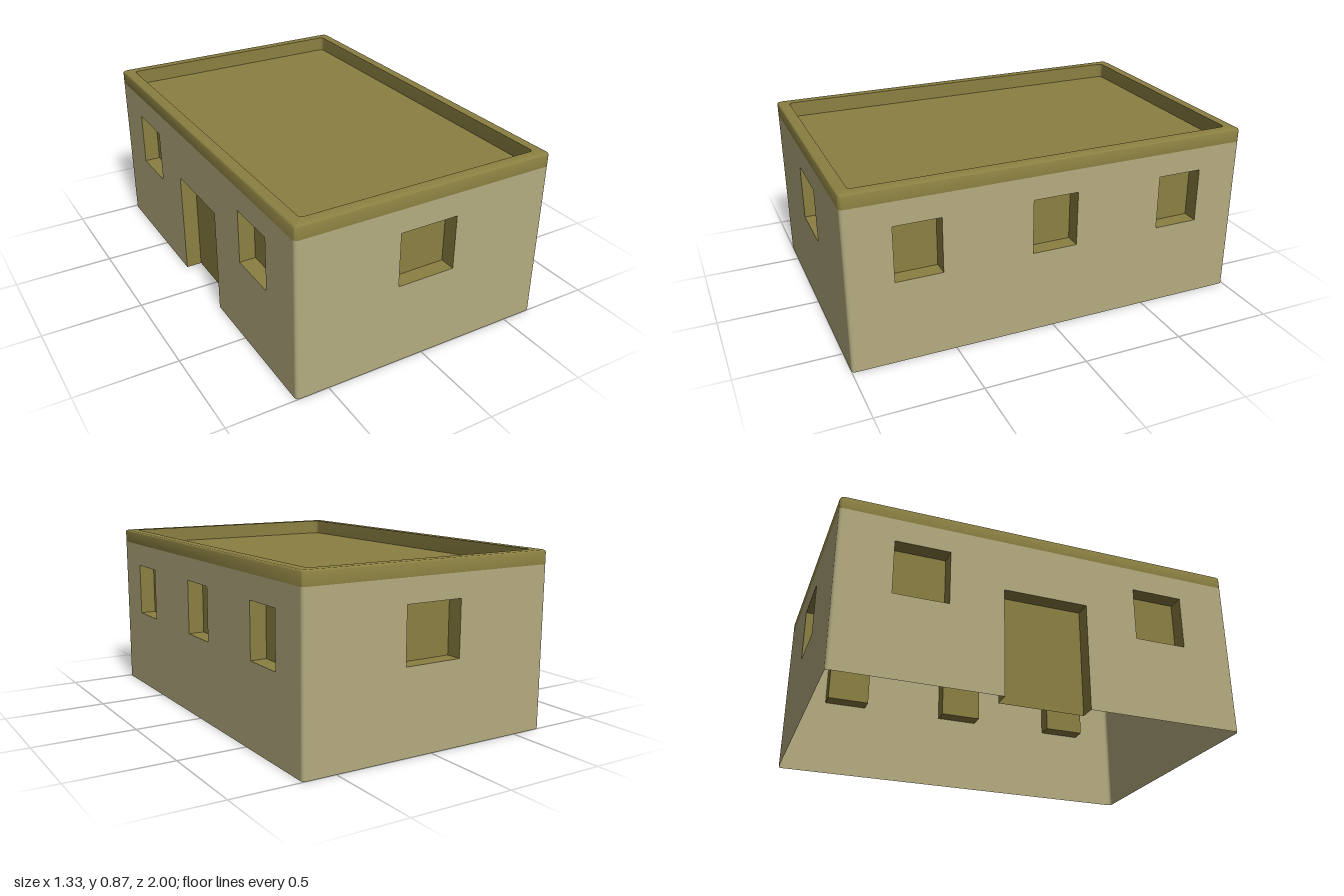
import * as THREE from 'three';
import { toCreasedNormals } from 'three/addons/utils/BufferGeometryUtils.js';

const HALF_X = 0.663, HALF_Z = 1, WALL_TOP = 0.8, ROOF_TOP = 0.867;
const FLOOR_Y = 0.79, RIM = 0.055, RADIUS = 0.018, DEPTH = 0.08;

const wallMat = new THREE.MeshStandardMaterial({ color: 0xb4ac80, side: THREE.DoubleSide });
wallMat.name = 'pale plaster';
const trimMat = new THREE.MeshStandardMaterial({ color: 0x8b8042, side: THREE.DoubleSide });
trimMat.name = 'olive trim';

function add(parent, name, geometry, material) {
  const mesh = new THREE.Mesh(geometry, material);
  mesh.name = name;
  parent.add(mesh);
  return mesh;
}

// Rounded rectangle outline, inset from the building's footprint
function outline(inset) {
  const points = [], steps = 5;
  const corners = [[1, 1], [1, -1], [-1, -1], [-1, 1]];
  corners.forEach(([sx, sz], k) => {
    for (let i = 0; i <= steps; i++) {
      const a = (k + i / steps) * Math.PI / 2;
      points.push([
        sx * (HALF_X - inset - RADIUS) + RADIUS * Math.sin(a),
        sz * (HALF_Z - inset - RADIUS) + RADIUS * Math.cos(a),
      ]);
    }
  });
  return points;
}

// Niche set into a wall: a box without its front (and without a floor for doors)
function recessGeometry(w, h, isDoor) {
  const g = new THREE.BoxGeometry(w, h, DEPTH);
  const keep = isDoor ? [0, 1, 2, 5] : [0, 1, 2, 3, 5];
  const index = Array.from(g.index.array);
  g.setIndex(keep.flatMap((f) => index.slice(f * 6, f * 6 + 6)));
  g.clearGroups();
  // turn the faces towards the inside of the niche
  const idx = g.index.array;
  for (let i = 0; i < idx.length; i += 3) [idx[i], idx[i + 1]] = [idx[i + 1], idx[i]];
  const n = g.attributes.normal;
  for (let i = 0; i < n.count; i++) n.setXYZ(i, -n.getX(i), -n.getY(i), -n.getZ(i));
  return g;
}

// One wall with openings; u runs to the right as seen from outside
function makeWall(name, width, distance, angle, openings) {
  const group = new THREE.Group();
  group.name = name;
  const half = width / 2 - RADIUS;
  const shape = new THREE.Shape();
  const door = openings.find((o) => o.door);
  shape.moveTo(-half, 0);
  if (door) {
    shape.lineTo(door.u - door.w / 2, 0);
    shape.lineTo(door.u - door.w / 2, door.y1);
    shape.lineTo(door.u + door.w / 2, door.y1);
    shape.lineTo(door.u + door.w / 2, 0);
  }
  shape.lineTo(half, 0);
  shape.lineTo(half, WALL_TOP);
  shape.lineTo(-half, WALL_TOP);
  shape.closePath();

  for (const o of openings) {
    const l = o.u - o.w / 2, r = o.u + o.w / 2;
    if (!o.door) {
      const hole = new THREE.Path();
      hole.moveTo(l, o.y0);
      hole.lineTo(l, o.y1);
      hole.lineTo(r, o.y1);
      hole.lineTo(r, o.y0);
      hole.closePath();
      shape.holes.push(hole);
    }
    const recess = add(group, o.door ? 'doorRecess' : 'windowRecess',
      recessGeometry(o.w, o.y1 - o.y0, o.door), trimMat);
    recess.position.set(o.u, (o.y0 + o.y1) / 2, -DEPTH / 2);
  }
  add(group, 'wallFace', new THREE.ShapeGeometry(shape), wallMat);
  group.rotation.y = angle;
  group.position.set(Math.sin(angle) * distance, 0, Math.cos(angle) * distance);
  return group;
}

// Parapet: rings lofted up the outside, over the rim and down to the roof deck
function parapetGeometry() {
  const profile = [[0, WALL_TOP], [0, 0.858], [0.003, 0.864], [0.009, ROOF_TOP],
    [RIM, ROOF_TOP], [RIM, FLOOR_Y]];
  const position = [], index = [];
  let n = 0;
  profile.forEach(([inset, y], j) => {
    const ring = outline(inset);
    n = ring.length;
    ring.forEach(([x, z]) => position.push(x, y, z));
    if (j === 0) return;
    for (let i = 0; i < n; i++) {
      const a = (j - 1) * n + i, b = (j - 1) * n + (i + 1) % n;
      index.push(a, b, b + n, a, b + n, a + n);
    }
  });
  const g = new THREE.BufferGeometry();
  g.setAttribute('position', new THREE.Float32BufferAttribute(position, 3));
  g.setIndex(index);
  return toCreasedNormals(g, 0.8);
}

export function createModel() {
  const model = new THREE.Group();
  model.name = 'house';

  // Walls and their openings
  const win = (u, w) => ({ u, w, y0: 0.413, y1: 0.684 });
  const endWindow = [win(0, 0.296)];
  const threeWindows = [-0.667, 0, 0.667].map((u) => win(u, 0.226));
  const doorSide = [win(-0.607, 0.265), win(0.607, 0.265),
    { u: 0, w: 0.42, y0: 0, y1: 0.54, door: true }];
  model.add(
    makeWall('frontWall', HALF_X * 2, HALF_Z, 0, endWindow),
    makeWall('leftWall', HALF_Z * 2, HALF_X, Math.PI / 2, threeWindows),
    makeWall('backWall', HALF_X * 2, HALF_Z, Math.PI, endWindow),
    makeWall('rightWall', HALF_Z * 2, HALF_X, -Math.PI / 2, doorSide),
  );

  // Rounded wall corners
  [[1, 1], [1, -1], [-1, -1], [-1, 1]].forEach(([sx, sz], k) => {
    const corner = add(model, 'wallCorner', new THREE.CylinderGeometry(
      RADIUS, RADIUS, WALL_TOP, 5, 1, true, k * Math.PI / 2, Math.PI / 2), wallMat);
    corner.position.set(sx * (HALF_X - RADIUS), WALL_TOP / 2, sz * (HALF_Z - RADIUS));
  });

  // Roof
  add(model, 'parapet', parapetGeometry(), trimMat);
  const deck = new THREE.Shape(outline(RIM).map(([x, z]) => new THREE.Vector2(x, -z)));
  const roofDeck = add(model, 'roofDeck',
    new THREE.ShapeGeometry(deck).rotateX(-Math.PI / 2), trimMat);
  roofDeck.position.y = FLOOR_Y;

  return model;
}
